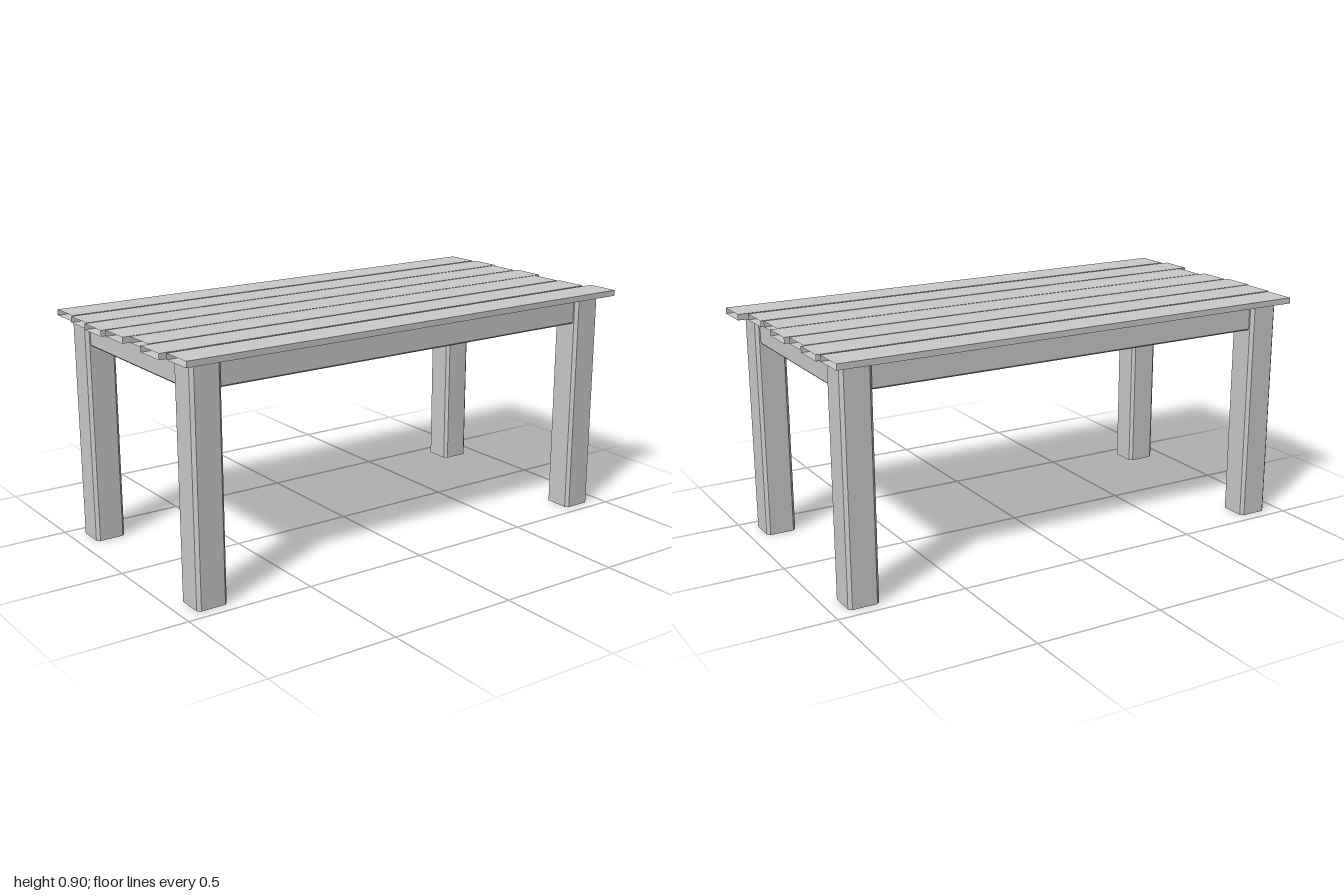
import * as THREE from 'three';

const material = new THREE.MeshStandardMaterial({ color: 0xcccccc, flatShading: true, side: THREE.DoubleSide });

// Open-ended bar: a counter-clockwise xy profile swept along z, centred on the origin
function bar(profile, length) {
  const pos = [], h = length / 2;
  profile.forEach(([x, y], i) => {
    const [u, v] = profile[(i + 1) % profile.length];
    pos.push(x, y, -h, u, v, -h, u, v, h, x, y, -h, u, v, h, x, y, h);
  });
  const geometry = new THREE.BufferGeometry();
  geometry.setAttribute('position', new THREE.Float32BufferAttribute(pos, 3));
  geometry.computeVertexNormals();
  return geometry;
}

// Rectangle with chamfered bottom corners (b) and top corners (t)
function section(w, h, b = 0, t = 0) {
  const x = w / 2, y = h / 2;
  const points = b ? [[-x, -y + b], [-x + b, -y], [x - b, -y], [x, -y + b]] : [[-x, -y], [x, -y]];
  return points.concat(t ? [[x, y - t], [x - t, y], [-x + t, y], [-x, y - t]] : [[x, y], [-x, y]]);
}

export function createModel() {
  const table = new THREE.Group();
  table.name = 'slattedTable';
  const add = (name, geometry, x, y, z) => {
    const mesh = new THREE.Mesh(geometry, material);
    mesh.name = name;
    mesh.position.set(x, y, z);
    table.add(mesh);
  };

  const legHeight = 0.88, legWidth = 0.12, legX = 0.877, legZ = 0.395;

  // Chamfered square legs
  const leg = bar(section(legWidth, legWidth, 0.012, 0.012), legHeight).rotateX(-Math.PI / 2);
  for (const x of [-1, 1]) for (const z of [-1, 1]) {
    add((z > 0 ? 'front' : 'back') + (x > 0 ? 'Left' : 'Right') + 'Leg', leg, x * legX, legHeight / 2, z * legZ);
  }

  // Rails between the legs, bevelled along the lower edges
  const railHeight = 0.1, railY = legHeight - railHeight / 2;
  const railSection = section(0.034, railHeight, 0.006);
  const longRail = bar(railSection, 2 * legX - legWidth).rotateY(Math.PI / 2);
  const shortRail = bar(railSection, 2 * legZ - legWidth);
  for (const s of [-1, 1]) {
    add(s > 0 ? 'frontRail' : 'backRail', longRail, 0, railY, s * 0.42);
    add(s > 0 ? 'leftRail' : 'rightRail', shortRail, s * 0.903, railY, 0);
  }

  // Top planks of uneven length: [x start, x end, z centre], back to front
  const planks = [
    [-0.98, 0.963, -0.42], [-0.99, 0.975, -0.279], [-1, 0.963, -0.141], [-0.985, 0.98, -0.003],
    [-0.957, 0.953, 0.134], [-0.99, 0.963, 0.273], [-0.967, 1, 0.415],
  ];
  const thickness = 0.023;
  for (const [x0, x1, z] of planks) {
    const plank = bar(section(0.132, thickness), x1 - x0).rotateY(Math.PI / 2);
    add('topPlank', plank, (x0 + x1) / 2, legHeight + thickness / 2, z);
  }
  return table;
}
